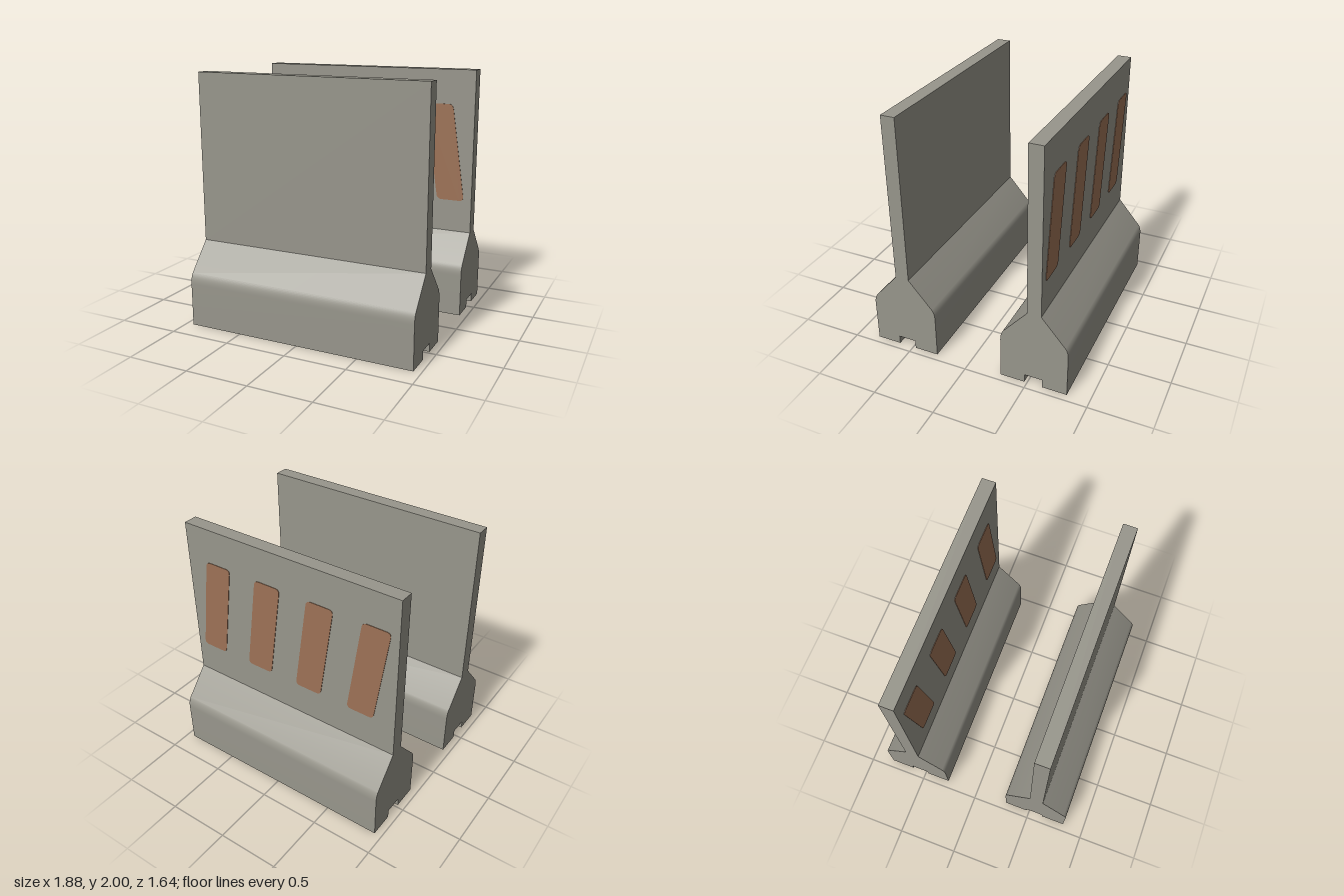
import * as THREE from 'three';
import { toCreasedNormals } from 'three/addons/utils/BufferGeometryUtils.js';

const LENGTH = 1.88;
const OFFSET = 0.55;      // distance of each barrier from the centre
const WALL = 0.056;       // half thickness of the upper wall

// Cross-section: grooved foot, rounded shoulders, thin wall
function barrierGeometry() {
  const s = new THREE.Shape();
  s.moveTo(0.073, 0.07);
  s.lineTo(0.073, 0);
  s.lineTo(0.271, 0);
  s.lineTo(0.271, 0.345);
  s.quadraticCurveTo(0.271, 0.4, 0.248, 0.432);
  s.lineTo(WALL, 0.655);
  s.lineTo(WALL, 2);
  s.lineTo(-WALL, 2);
  s.lineTo(-WALL, 0.655);
  s.lineTo(-0.248, 0.432);
  s.quadraticCurveTo(-0.271, 0.4, -0.271, 0.345);
  s.lineTo(-0.271, 0);
  s.lineTo(-0.073, 0);
  s.lineTo(-0.073, 0.07);
  s.closePath();
  const g = new THREE.ExtrudeGeometry(s, { depth: LENGTH, bevelEnabled: false, curveSegments: 8 });
  g.translate(0, 0, -LENGTH / 2);
  g.rotateY(Math.PI / 2);
  return toCreasedNormals(g, 0.4);
}

// Polygon with rounded corners
function roundedPolygon(coords, radius) {
  const pts = coords.map(([x, y]) => new THREE.Vector2(x, y));
  const s = new THREE.Shape();
  pts.forEach((p, i) => {
    const toward = (q) => p.clone().add(q.clone().sub(p).setLength(radius));
    const a = toward(pts[(i + pts.length - 1) % pts.length]);
    const b = toward(pts[(i + 1) % pts.length]);
    if (i === 0) s.moveTo(a.x, a.y);
    else s.lineTo(a.x, a.y);
    s.quadraticCurveTo(p.x, p.y, b.x, b.y);
  });
  s.closePath();
  return s;
}

export function createModel() {
  const model = new THREE.Group();
  model.name = 'barrierPair';

  const concrete = new THREE.MeshStandardMaterial({ color: 0x98968c });
  concrete.name = 'concrete grey';
  const paint = new THREE.MeshStandardMaterial({ color: 0x9d7256 });
  paint.name = 'faded orange';

  // Two matching barriers
  const body = barrierGeometry();
  for (const [name, side] of [['frontBarrier', 1], ['backBarrier', -1]]) {
    const mesh = new THREE.Mesh(body, concrete);
    mesh.name = name;
    mesh.position.z = side * OFFSET;
    model.add(mesh);
  }

  // Slanted painted stripes on both faces of the back barrier
  const thick = 0.004;
  const outline = roundedPolygon([[-0.056, 0.92], [0.174, 0.92], [0.056, 1.72], [-0.174, 1.72]]
    .map(([x, y]) => [x, y]), 0.04);
  const stripe = new THREE.ExtrudeGeometry(outline, { depth: thick, bevelEnabled: false, curveSegments: 5 });
  stripe.translate(0, 0, -thick / 2);
  for (const face of [1, -1]) {
    for (let i = 0; i < 4; i++) {
      const mesh = new THREE.Mesh(stripe, paint);
      mesh.name = face > 0 ? 'frontStripe' : 'backStripe';
      mesh.position.set((i - 1.5) * 0.468, 0, -OFFSET + face * (WALL + thick / 2));
      model.add(mesh);
    }
  }
  return model;
}
